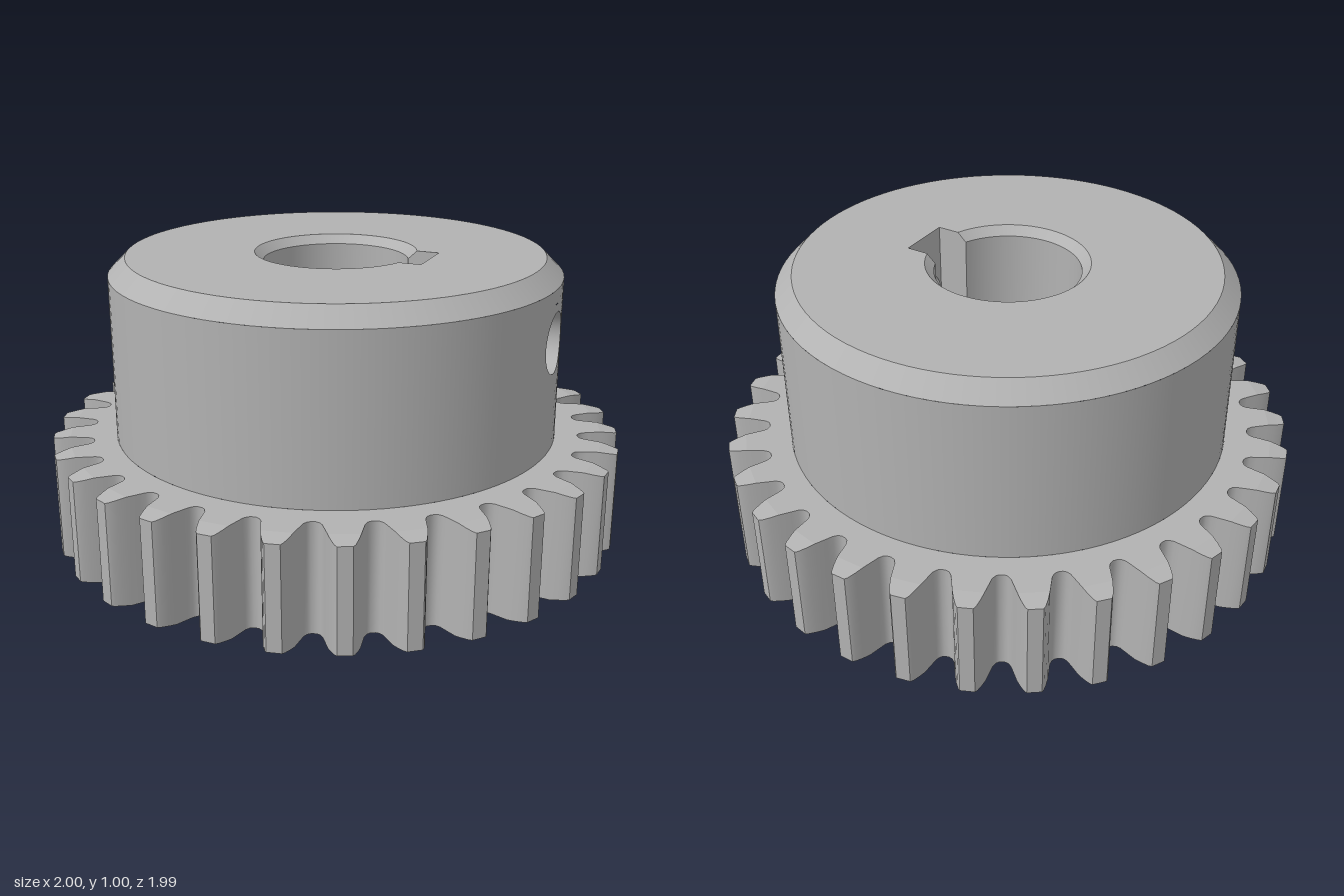
import * as THREE from 'three';
import { toCreasedNormals } from 'three/addons/utils/BufferGeometryUtils.js';

const TEETH = 30, GEAR_H = 0.375, HUB_R = 0.78, HUB_H = 1, CHAMFER = 0.06;
const KEY_ANGLE = Math.PI / 6, KEY_W = 0.095, KEY_R = 0.342;
const SCREW_Y = 0.755, SCREW_R = 0.105;
const BEVEL_R = 0.94; // tooth tips slope away beyond this radius

// Plan points are Vector2; lift places them at height y, with plan y pointing to -z
const polar = (r, a) => new THREE.Vector2(r * Math.cos(a), r * Math.sin(a));
const lift = (p, y) => new THREE.Vector3(p.x, y, -p.y);
const circle = (r, n = 96, cx = 0, cy = 0) =>
  Array.from({ length: n }, (_, i) => polar(r, (i / n) * Math.PI * 2).add(new THREE.Vector2(cx, cy)));
const close = (pts) => [...pts, pts[0]];

// Skin between rows of equally many points
function loft(rows, crease = 0.6) {
  const pos = [];
  for (let i = 0; i + 1 < rows.length; i++) {
    for (let j = 0; j + 1 < rows[i].length; j++) {
      const a = rows[i][j], b = rows[i][j + 1], c = rows[i + 1][j + 1], d = rows[i + 1][j];
      for (const p of [a, b, c, a, c, d]) pos.push(p.x, p.y, p.z);
    }
  }
  const g = new THREE.BufferGeometry();
  g.setAttribute('position', new THREE.Float32BufferAttribute(pos, 3));
  return toCreasedNormals(g, crease);
}

// Flat horizontal face with holes, facing up or down
function plate(outline, holes, y, down = false) {
  const shape = new THREE.Shape(outline);
  shape.holes = holes.map((h) => new THREE.Path(h));
  const g = new THREE.ShapeGeometry(shape);
  g.rotateX(-Math.PI / 2).translate(0, y, 0);
  if (down) g.setIndex(Array.from(g.index.array).reverse());
  return toCreasedNormals(g, 0.6);
}

// Bore section: keyway corner, round arc, other keyway corner
function boreOutline(r) {
  const half = Math.atan2(KEY_W, KEY_R), kr = Math.hypot(KEY_W, KEY_R);
  const start = Math.asin(KEY_W / r), n = 72;
  const pts = [polar(kr, KEY_ANGLE + half)];
  for (let i = 0; i <= n; i++) {
    pts.push(polar(r, KEY_ANGLE + start + (i / n) * (Math.PI * 2 - 2 * start)));
  }
  pts.push(polar(kr, KEY_ANGLE - half));
  return pts;
}

// Half tooth: [half width, radius] from root to tip
const TOOTH = [[0.082, 0.859], [0.071, 0.865], [0.063, 0.878], [0.058, 0.9], [0.049, BEVEL_R],
  [0.041, 0.966], [0.031, 0.991], [0.024, 1]];
const toothPoint = ([w, r], k, side) => polar(r, (k / TEETH) * Math.PI * 2 + (side * w) / r);
const drop = (r) => Math.max(0, r - BEVEL_R) * 0.17;

function gearOutline(profile) {
  const pts = [];
  for (let k = 0; k < TEETH; k++) {
    for (const q of profile) pts.push(toothPoint(q, k, -1));
    for (const q of [...profile].reverse()) pts.push(toothPoint(q, k, 1));
  }
  return pts;
}

export function createModel() {
  const group = new THREE.Group();
  const steel = new THREE.MeshStandardMaterial({ color: 0xb2b2b2 });
  steel.name = 'steel grey';
  const add = (name, geometry, parent = group) => {
    const m = new THREE.Mesh(geometry, steel);
    m.name = name;
    parent.add(m);
    return m;
  };

  // Toothed ring
  const flat = gearOutline(TOOTH.filter((q) => q[1] <= BEVEL_R));
  const rim = close(gearOutline(TOOTH));
  add('toothFlanks', loft([
    rim.map((p) => lift(p, drop(p.length()))),
    rim.map((p) => lift(p, GEAR_H - drop(p.length()))),
  ]));
  add('gearTopFace', plate(flat, [circle(HUB_R)], GEAR_H));
  const holeCentres = [0, 1, 2, 3].map((i) => polar(0.535, KEY_ANGLE + Math.PI / 4 + (i * Math.PI) / 2));
  const mountHoles = holeCentres.map((c) => circle(0.075, 32, c.x, c.y));
  add('gearBottomFace', plate(flat, [boreOutline(0.28), ...mountHoles], 0, true));

  // Sloped tooth ends, top and bottom
  const tips = new THREE.Group();
  tips.name = 'toothTipBevels';
  group.add(tips);
  for (let k = 0; k < TEETH; k++) {
    const rows = (y, sign) => TOOTH.filter((q) => q[1] >= BEVEL_R)
      .map((q) => [-1, 1].map((s) => lift(toothPoint(q, k, s), y + sign * drop(q[1]))));
    add('topTipBevel', loft(rows(GEAR_H, -1).reverse()), tips);
    add('bottomTipBevel', loft(rows(0, 1)), tips);
  }

  // Blind mounting holes in the underside
  for (const h of mountHoles) {
    const ring = close(h);
    add('mountingHoleWall', loft([ring.map((p) => lift(p, 0.3)), ring.map((p) => lift(p, 0))]));
    add('mountingHoleEnd', plate(h, [], 0.3, true));
  }

  // Hub wall, leaving a square window for the screw hole
  const win = Math.PI / 18, half = HUB_R * Math.sin(win), wallTop = HUB_H - CHAMFER;
  const wall = (name, y0, y1, from, length, segments) => add(name, new THREE.CylinderGeometry(
    HUB_R, HUB_R, y1 - y0, segments, 1, true, from + Math.PI / 2, length).translate(0, (y0 + y1) / 2, 0));
  wall('hubWall', GEAR_H, wallTop, KEY_ANGLE + win, Math.PI * 2 - 2 * win, 102);
  wall('hubWallBelowScrew', GEAR_H, SCREW_Y - half, KEY_ANGLE - win, 2 * win, 6);
  wall('hubWallAboveScrew', SCREW_Y + half, wallTop, KEY_ANGLE - win, 2 * win, 6);

  // Curved patch from the square window to the round hole
  const n = 48;
  const onHub = (u, v) => lift(polar(HUB_R, KEY_ANGLE + Math.asin(u / HUB_R)), SCREW_Y + v);
  const patchRow = (t) => Array.from({ length: n + 1 }, (_, i) => {
    const a = (i / n) * Math.PI * 2, c = Math.cos(a), s = Math.sin(a);
    const square = half / Math.max(Math.abs(c), Math.abs(s));
    const r = square + (SCREW_R - square) * t;
    return onHub(r * c, r * s);
  });
  const patch = loft([0, 0.33, 0.67, 1].map(patchRow));
  const pos = patch.attributes.position, nor = patch.attributes.normal;
  for (let i = 0; i < pos.count; i++) nor.setXYZ(i, pos.getX(i) / HUB_R, 0, pos.getZ(i) / HUB_R);
  add('screwHoleSurround', patch);

  // Screw hole running in to the keyway floor
  const innerR = 0.09;
  const inner = Array.from({ length: n + 1 }, (_, i) => {
    const a = (i / n) * Math.PI * 2, u = innerR * Math.cos(a);
    return lift(polar(Math.hypot(KEY_R, u), KEY_ANGLE + Math.atan2(u, KEY_R)), SCREW_Y + innerR * Math.sin(a));
  });
  add('screwHoleWall', loft([patchRow(1), inner]));

  // Hub chamfer and top face
  add('hubChamfer', new THREE.CylinderGeometry(HUB_R - CHAMFER, HUB_R, CHAMFER, 96, 1, true)
    .translate(0, HUB_H - CHAMFER / 2, 0));
  add('hubTopFace', plate(circle(HUB_R - CHAMFER), [boreOutline(0.28)], HUB_H));

  // Bore with chamfered ends and keyway sides
  add('boreWall', loft([[0.28, HUB_H], [0.25, HUB_H - 0.03], [0.25, 0.03], [0.28, 0]]
    .map(([r, y]) => boreOutline(r).map((p) => lift(p, y)))));

  // Keyway floor, pierced by the screw hole
  const floor = new THREE.Shape([[-KEY_W, 0], [KEY_W, 0], [KEY_W, HUB_H], [-KEY_W, HUB_H]]
    .map(([x, y]) => new THREE.Vector2(x, y)));
  floor.holes.push(new THREE.Path(circle(innerR, n, 0, SCREW_Y)));
  const keyFloor = add('keywayFloor', new THREE.ShapeGeometry(floor));
  keyFloor.position.copy(lift(polar(KEY_R, KEY_ANGLE), 0));
  keyFloor.rotation.y = KEY_ANGLE - Math.PI / 2;

  return group;
}
